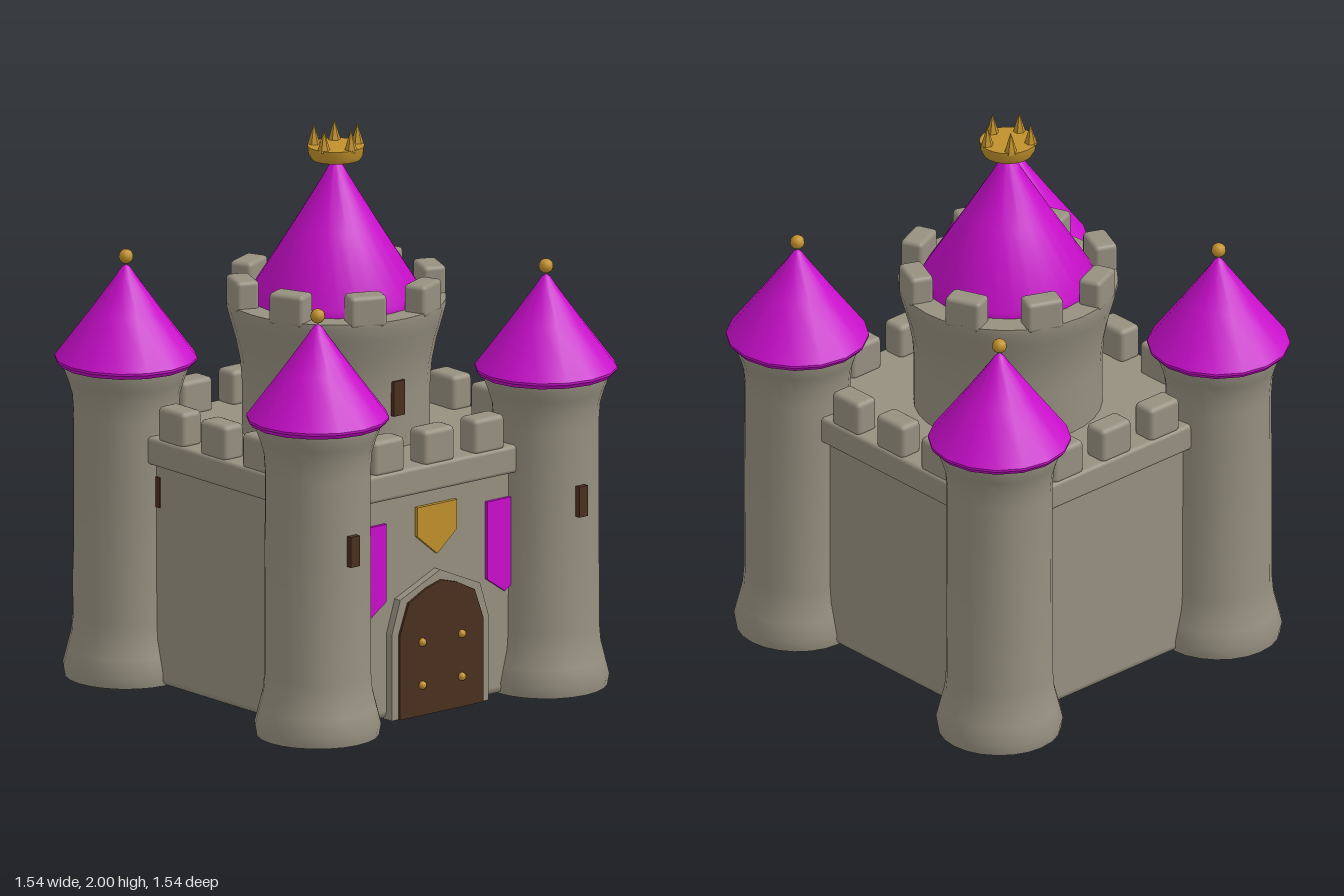
import * as THREE from 'three';
import { toCreasedNormals } from 'three/addons/utils/BufferGeometryUtils.js';
import { RoundedBoxGeometry } from 'three/addons/geometries/RoundedBoxGeometry.js';

const material = (name, color) => {
  const m = new THREE.MeshStandardMaterial({ color });
  m.name = name;
  return m;
};

export function createModel() {
  const stone = material('stone', 0x969080);
  const magenta = material('magenta', 0xc90ecb);
  const gold = material('gold', 0xc0902c);
  const wood = material('wood', 0x4a2f1e);
  const castle = new THREE.Group();
  castle.name = 'castle';

  const add = (name, geometry, mat, x = 0, y = 0, z = 0, parent = castle) => {
    const mesh = new THREE.Mesh(geometry, mat);
    mesh.name = name;
    mesh.position.set(x, y, z);
    parent.add(mesh);
    return mesh;
  };
  // Turned solid from [radius, height] pairs, listed bottom to top
  const turned = (profile, sides) => toCreasedNormals(
    new THREE.LatheGeometry(profile.map(([r, y]) => new THREE.Vector2(r, y)), sides), 0.6);
  // Flat plate mirrored about x = 0, from the points of its right half
  const plate = (half, depth) => {
    const left = half.filter(([x]) => x > 0).reverse().map(([x, y]) => [-x, y]);
    const shape = new THREE.Shape([...half, ...left].map(([x, y]) => new THREE.Vector2(x, y)));
    return new THREE.ExtrudeGeometry(shape, { depth, bevelEnabled: false });
  };

  // Main block and cornice
  add('body', new RoundedBoxGeometry(1.07, 0.86, 1.07, 2, 0.03), stone, 0, 0.43, 0);
  add('cornice', new RoundedBoxGeometry(1.14, 0.1, 1.14, 2, 0.014), stone, 0, 0.85, 0);

  // Wall battlements, three per side between the towers
  const merlon = new RoundedBoxGeometry(0.14, 0.13, 0.09, 2, 0.018);
  for (let side = 0; side < 4; side++) {
    const row = new THREE.Group();
    row.name = 'wallBattlements';
    row.rotation.y = side * Math.PI / 2;
    for (const x of [-0.228, 0, 0.228]) add('merlon', merlon, stone, x, 0.955, 0.52, row);
    castle.add(row);
  }

  // Corner towers with roofs, finials and front windows
  const shaft = turned([[0, 0], [0.215, 0], [0.222, 0.04], [0.207, 0.1], [0.192, 0.16], [0.187, 0.22],
    [0.185, 0.95], [0.19, 1.02], [0.205, 1.07], [0.22, 1.11], [0.22, 1.13], [0, 1.13]], 24);
  const towerRoof = turned([[0, 1.125], [0.238, 1.125], [0.25, 1.14], [0.25, 1.148],
    [0.125, 1.315], [0.035, 1.44], [0.015, 1.47], [0, 1.48]], 16);
  const finial = new THREE.SphereGeometry(0.026, 12, 8);
  const slit = new THREE.BoxGeometry(0.04, 0.11, 0.04);
  for (const x of [-0.52, 0.52]) for (const z of [-0.52, 0.52]) {
    const tower = new THREE.Group();
    tower.name = 'tower';
    tower.position.set(x, 0, z);
    add('towerShaft', shaft, stone, 0, 0, 0, tower);
    add('towerRoof', towerRoof, magenta, 0, 0, 0, tower);
    add('finial', finial, gold, 0, 1.508, 0, tower);
    add('towerWindow', slit, wood, 0, 0.698, 0.185, tower);
    castle.add(tower);
  }

  // Central keep with flared top
  add('keep', turned([[0.33, 0.86], [0.33, 1.08], [0.336, 1.16], [0.352, 1.24], [0.372, 1.31],
    [0.385, 1.36], [0.385, 1.38], [0, 1.38]], 32), stone);
  for (let i = 0; i < 8; i++) {
    const a = (i + 0.5) * Math.PI / 4;
    const m = add('keepMerlon', new RoundedBoxGeometry(0.135, 0.115, 0.085, 2, 0.016), stone,
      Math.sin(a) * 0.342, 1.42, Math.cos(a) * 0.342);
    m.rotation.y = a;
  }
  add('keepRoof', turned([[0, 1.375], [0.3, 1.375], [0.3, 1.405], [0.15, 1.645],
    [0.05, 1.81], [0.025, 1.855], [0, 1.88]], 28), magenta);
  add('keepWindow', new THREE.BoxGeometry(0.05, 0.125, 0.04), wood, 0, 1.083, 0.325);

  // Crown on the keep roof
  add('crownBowl', turned([[0, 1.88], [0.088, 1.88], [0.096, 1.895], [0.1, 1.927], [0, 1.927]], 20), gold);
  const spike = toCreasedNormals(new THREE.ConeGeometry(0.024, 0.08, 6), 0.6);
  for (let i = 0; i < 5; i++) {
    const a = i * Math.PI * 2 / 5;
    add('crownSpike', spike, gold, Math.sin(a) * 0.08, 1.96, Math.cos(a) * 0.08);
  }

  // Gate with stone surround and studs
  add('gateFrame', plate([[0.22, 0], [0.22, 0.31], [0.182, 0.43], [0, 0.51]], 0.06), stone, 0, 0, 0.505);
  add('gateDoor', plate([[0.19, 0], [0.19, 0.305], [0.15, 0.415], [0.07, 0.455], [0, 0.475]], 0.06),
    wood, 0, 0, 0.514);
  const stud = new THREE.SphereGeometry(0.015, 10, 8);
  for (const x of [-0.09, 0.09]) for (const y of [0.11, 0.265]) add('gateStud', stud, gold, x, y, 0.576);

  // Shield and banners on the front wall
  add('shield', plate([[0, 0.565], [0.09, 0.64], [0.09, 0.745]], 0.03), gold, 0, 0, 0.52);
  const banner = plate([[0, 0.375], [0.08, 0.43], [0.08, 0.71]], 0.02);
  for (const x of [-0.31, 0.31]) add('banner', banner, magenta, x, 0, 0.528);

  return castle;
}
